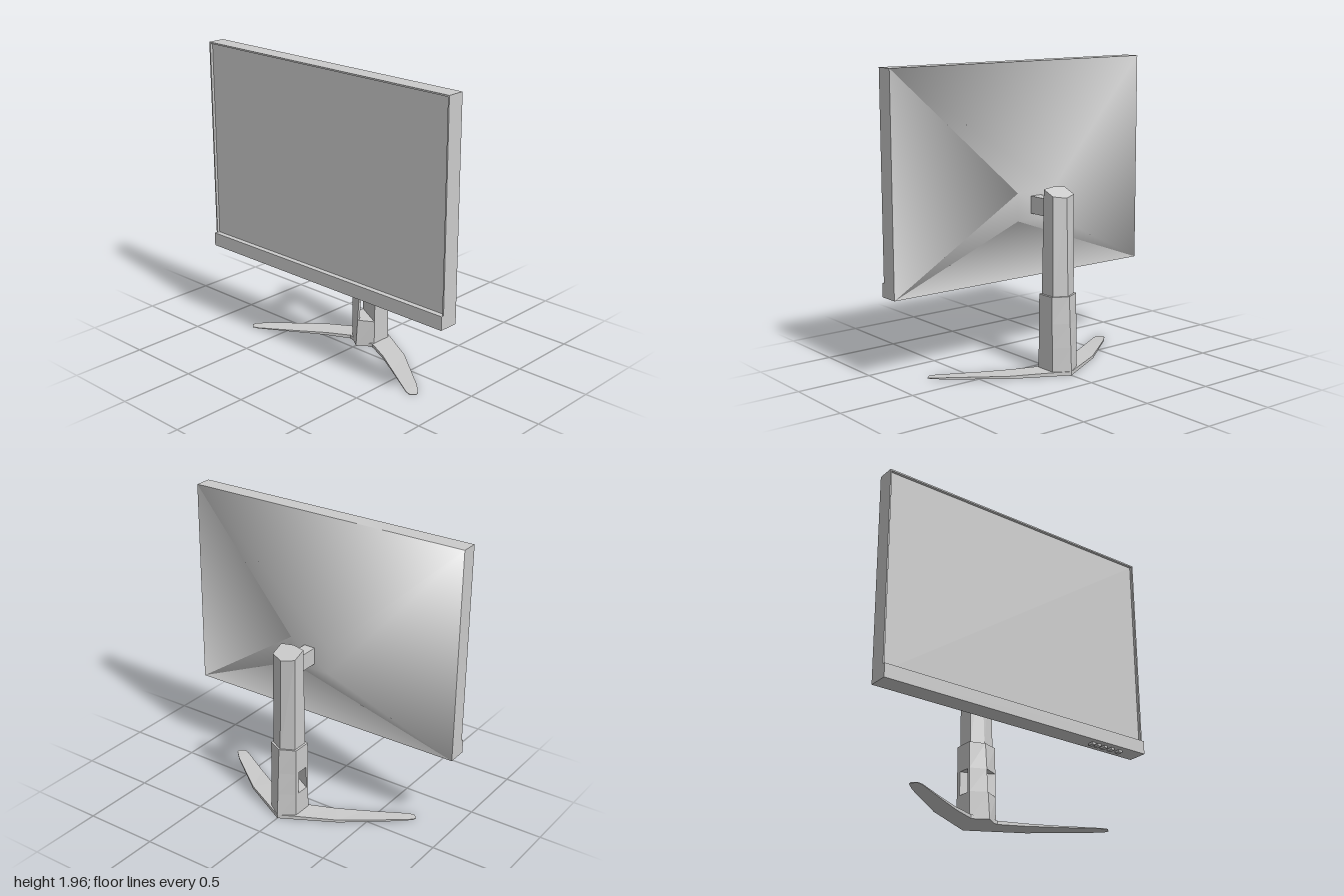
import * as THREE from 'three';

const material = new THREE.MeshStandardMaterial({ color: 0xcccccc });
const flatMaterial = new THREE.MeshStandardMaterial({ color: 0xcccccc, flatShading: true });

// Skin a closed solid over cross-sections (arrays of [x, y, z] with equal counts).
function loft(rings) {
  const n = rings[0].length, last = (rings.length - 1) * n;
  const points = rings.flat(), index = [];
  for (let r = 0; r < rings.length - 1; r++) {
    for (let i = 0; i < n; i++) {
      const a = r * n + i, b = r * n + (i + 1) % n;
      index.push(a, b, b + n, a, b + n, a + n);
    }
  }
  for (let i = 1; i < n - 1; i++) {
    index.push(0, i + 1, i, last, last + i, last + i + 1);
  }
  // Turn the faces outward if the signed volume is negative.
  let volume = 0;
  const v = index.map((i) => new THREE.Vector3(...points[i]));
  for (let i = 0; i < v.length; i += 3) volume += v[i].dot(v[i + 1].clone().cross(v[i + 2]));
  if (volume < 0) index.reverse();
  const geometry = new THREE.BufferGeometry();
  geometry.setAttribute('position', new THREE.Float32BufferAttribute(points.flat(), 3));
  geometry.setIndex(index);
  geometry.computeVertexNormals();
  return geometry;
}

function add(parent, name, geometry, mat = material) {
  const mesh = new THREE.Mesh(geometry, mat);
  mesh.name = name;
  parent.add(mesh);
  return mesh;
}

// Box given by its minimum and maximum corners.
function box(parent, name, [x0, y0, z0], [x1, y1, z1]) {
  const mesh = add(parent, name, new THREE.BoxGeometry(x1 - x0, y1 - y0, z1 - z0));
  mesh.position.set((x0 + x1) / 2, (y0 + y1) / 2, (z0 + z1) / 2);
}

// Hexagon with points at front and back; z lists front, front side, back side, back.
function hexagon(w, [front, sideFront, sideBack, back], height) {
  return [[0, front], [w, sideFront], [w, sideBack], [0, back], [-w, sideBack], [-w, sideFront]]
    .map(([x, z]) => [x, height(z), z]);
}

function rectangle(w, y0, y1, z) {
  return [[-w, y0, z], [w, y0, z], [w, y1, z], [-w, y1, z]];
}

function createDisplay() {
  const display = new THREE.Group();
  display.name = 'display';

  // Thin rim around the recessed screen
  const outline = new THREE.Shape();
  outline.moveTo(-1, 0.55).lineTo(1, 0.55).lineTo(1, 1.96).lineTo(-1, 1.96).closePath();
  const opening = new THREE.Path();
  opening.moveTo(-0.99, 0.63).lineTo(-0.99, 1.95).lineTo(0.99, 1.95).lineTo(0.99, 0.63).closePath();
  outline.holes.push(opening);
  const rim = new THREE.ExtrudeGeometry(outline, { depth: 0.115, bevelEnabled: false });
  add(display, 'screenFrame', rim.translate(0, 0, 0.18));
  box(display, 'screen', [-0.992, 0.6, 0.19], [0.992, 1.952, 0.277]);
  box(display, 'bottomBezel', [-1, 0.55, 0.25], [1, 0.64, 0.313]);

  // Tapered back shell
  add(display, 'backShell', loft([
    rectangle(1, 0.55, 1.96, 0.18),
    rectangle(0.145, 0.96, 1.14, 0.05),
  ]));

  // Control buttons under the bezel
  for (const x of [0.6, 0.648, 0.7, 0.76, 0.826]) {
    box(display, 'button', [x - 0.014, 0.535, 0.235], [x + 0.014, 0.555, 0.275]);
  }
  return display;
}

function createStand() {
  const stand = new THREE.Group();
  stand.name = 'stand';

  // Lower column section at any height, tapering upward
  const bottom = [-0.03, -0.1, -0.24, -0.31], top = [-0.075, -0.108, -0.235, -0.285];
  const depths = (y) => bottom.map((z, i) => THREE.MathUtils.lerp(z, top[i], y / 0.51));
  const section = (y) => hexagon(0.1, depths(y), () => y);
  add(stand, 'lowerColumnBase', loft([section(0), section(0.18)]), flatMaterial);
  add(stand, 'lowerColumnTop', loft([section(0.335), section(0.51)]), flatMaterial);

  // Walls on either side of the diagonal cable opening
  const frontWall = (y) => {
    const [f, s] = depths(y);
    return [[0, y, f], [0, y, f - 0.02], [-0.1, y, s - 0.02], [-0.1, y, s]];
  };
  const backWall = (y) => {
    const [, s, b, k] = depths(y);
    return [[0.1, y, s], [0.1, y, b], [0, y, k], [-0.1, y, b], [-0.1, y, b + 0.03]];
  };
  add(stand, 'cableOpeningFrontWall', loft([frontWall(0.18), frontWall(0.335)]), flatMaterial);
  add(stand, 'cableOpeningBackWall', loft([backWall(0.18), backWall(0.335)]), flatMaterial);

  // Narrower upper column with a sloping top
  add(stand, 'upperColumn', loft([
    hexagon(0.085, [-0.085, -0.115, -0.228, -0.272], () => 0.5),
    hexagon(0.085, [-0.12, -0.135, -0.225, -0.257], (z) => 1.19 + (z + 0.12) * 0.4),
  ]), flatMaterial);

  // Arm joining the column to the display
  box(stand, 'mountArm', [-0.04, 1, -0.15], [0.04, 1.113, 0.06]);

  // Mirrored swept legs: outer x, z, inner x, z, top height
  const stations = [
    [0, -0.31, 0, -0.06, 0.025],
    [0.12, -0.245, 0.1, -0.085, 0.024],
    [0.35, -0.12, 0.26, -0.01, 0.018],
    [0.67, 0.13, 0.43, 0.09, 0.011],
    [0.735, 0.195, 0.67, 0.235, 0.005],
    [0.742, 0.22, 0.71, 0.248, 0.004],
  ];
  for (const side of [-1, 1]) {
    const rings = stations.map(([ox, oz, ix, iz, y]) => [
      [side * ox, 0, oz], [side * ox, y, oz], [side * ix, y, iz], [side * ix, 0, iz],
    ]);
    add(stand, side > 0 ? 'leftLeg' : 'rightLeg', loft(rings), flatMaterial);
  }
  return stand;
}

export function createModel() {
  const model = new THREE.Group();
  model.name = 'monitor';
  model.add(createDisplay(), createStand());
  return model;
}
